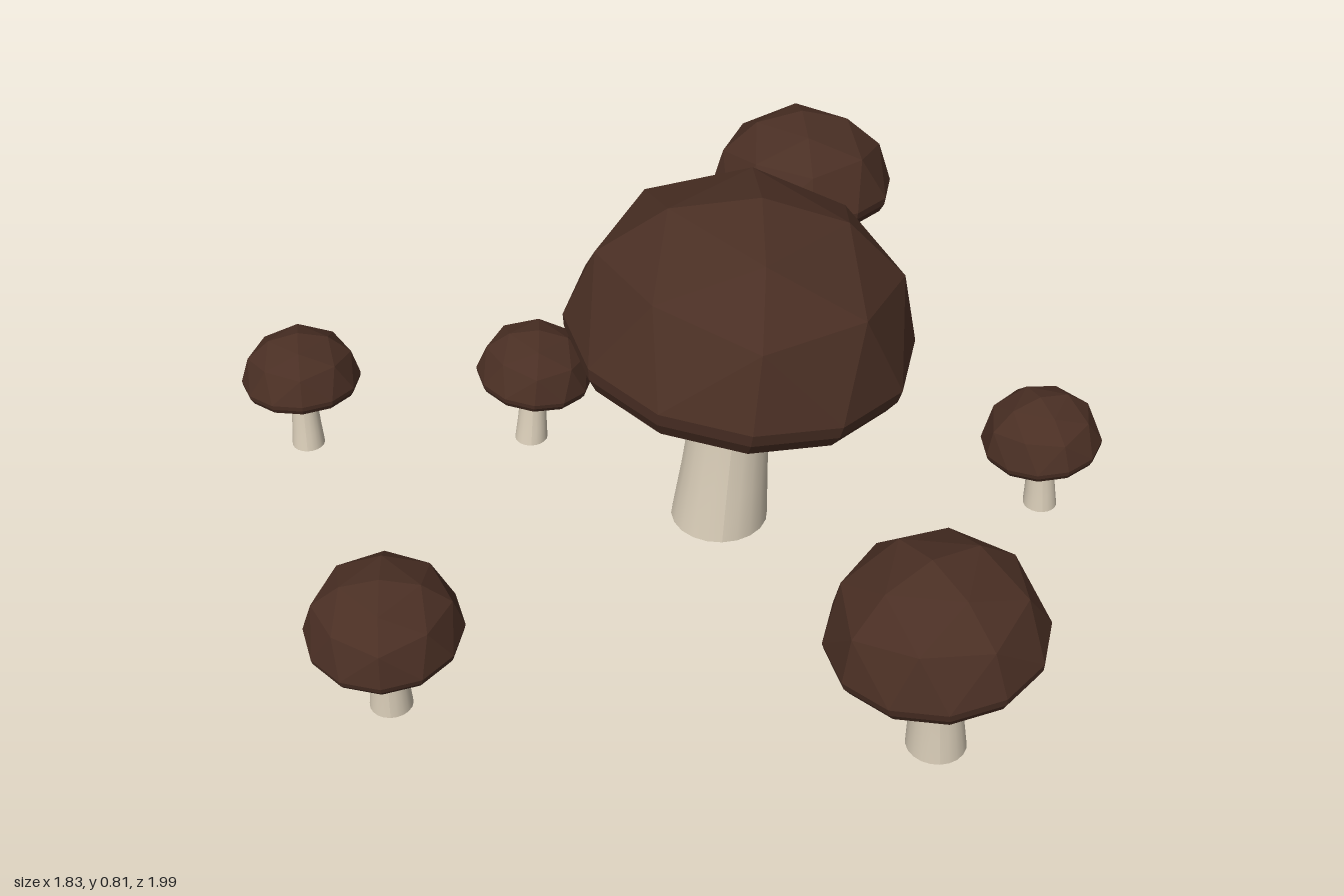
import * as THREE from 'three';

const capMat = new THREE.MeshStandardMaterial({ color: 0x4a2f24, flatShading: true });
capMat.name = 'dark brown cap';
const stemMat = new THREE.MeshStandardMaterial({ color: 0xd9cdb8 });
stemMat.name = 'cream stem';

// Faceted half dome of radius 1: an octahedral grid bent to even 30 degree steps
function domeGeometry() {
  const src = new THREE.OctahedronGeometry(1, 2).getAttribute('position');
  const out = [];
  const v = new THREE.Vector3();
  const bend = (c, sum) => Math.sign(c) * Math.sin((Math.abs(c) / sum) * Math.PI / 2);
  for (let i = 0; i < src.count; i += 3) {
    if (Math.min(src.getY(i), src.getY(i + 1), src.getY(i + 2)) < -1e-4) continue;
    for (let k = 0; k < 3; k++) {
      v.fromBufferAttribute(src, i + k);
      const sum = Math.abs(v.x) + Math.abs(v.y) + Math.abs(v.z);
      v.set(bend(v.x, sum), bend(v.y, sum), bend(v.z, sum)).normalize();
      out.push(v.x, v.y * 0.86, v.z);
    }
  }
  const geo = new THREE.BufferGeometry();
  geo.setAttribute('position', new THREE.Float32BufferAttribute(out, 3));
  geo.computeVertexNormals();
  return geo;
}

// Rolled rim and underside below the dome
function rimGeometry() {
  const profile = [[0, -0.13], [0.93, -0.17], [0.985, -0.08], [1, 0]];
  return new THREE.LatheGeometry(profile.map(p => new THREE.Vector2(...p)), 12);
}

// Flared stem that leans from its base to the underside of the cap
function stemGeometry(base, top, r) {
  const h = top.y - base.y;
  const geo = new THREE.CylinderGeometry(r * 0.77, r, h, 20, 4);
  geo.translate(0, h / 2, 0);
  const pos = geo.getAttribute('position');
  for (let i = 0; i < pos.count; i++) {
    const t = pos.getY(i) / h;
    const waist = 1 - 0.06 * Math.sin(Math.PI * t);
    pos.setXYZ(i,
      base.x + pos.getX(i) * waist + (top.x - base.x) * t,
      base.y + pos.getY(i),
      base.z + pos.getZ(i) * waist + (top.z - base.z) * t);
  }
  geo.computeVertexNormals();
  return geo;
}

export function createModel() {
  const model = new THREE.Group();
  model.name = 'mushroomCluster';
  const dome = domeGeometry();
  const rim = rimGeometry();

  // cap centre at the rim, cap radius, stem base, stem radius, tilt about x and z, turn about y
  const mushrooms = [
    { name: 'largeMushroom', cap: [0.145, 0.5, 0.07], R: 0.362, base: [0.108, 0.02, 0.075], r: 0.103, tilt: [0, -0.12], turn: 0 },
    { name: 'frontMushroom', cap: [0.462, 0.308, 0.785], R: 0.212, base: [0.48, 0.02, 0.78], r: 0.059, tilt: [0.02, 0.11], turn: 0.5 },
    { name: 'backMushroom', cap: [0.35, 0.305, -0.785], R: 0.214, base: [0.35, 0.02, -0.76], r: 0.059, tilt: [-0.14, 0], turn: 0.05 },
    { name: 'leftSmallMushroom', cap: [0.788, 0.192, 0.07], R: 0.127, base: [0.8, 0.02, 0.072], r: 0.036, tilt: [0, 0.1], turn: 0.3 },
    { name: 'innerSmallMushroom', cap: [-0.282, 0.192, -0.215], R: 0.128, base: [-0.295, 0.02, -0.205], r: 0.036, tilt: [0, -0.12], turn: 0 },
    { name: 'rightSmallMushroom', cap: [-0.792, 0.192, -0.216], R: 0.129, base: [-0.79, 0.02, -0.205], r: 0.036, tilt: [-0.08, 0], turn: 0.1 },
    { name: 'rightFrontMushroom', cap: [-0.567, 0.21, 0.617], R: 0.155, base: [-0.567, 0, 0.607], r: 0.043, tilt: [0.12, 0], turn: 0 },
  ];

  for (const m of mushrooms) {
    const group = new THREE.Group();
    group.name = m.name;

    const cap = new THREE.Group();
    cap.name = 'cap';
    cap.position.set(...m.cap);
    cap.rotation.set(m.tilt[0], 0, m.tilt[1]);
    for (const [name, geo] of [['capDome', dome], ['capRim', rim]]) {
      const mesh = new THREE.Mesh(geo, capMat);
      mesh.name = name;
      mesh.scale.setScalar(m.R);
      mesh.rotation.y = m.turn;
      cap.add(mesh);
    }

    // The stem ends just inside the underside of the cap
    const top = new THREE.Vector3(0, -0.08 * m.R, 0).applyEuler(cap.rotation).add(cap.position);
    const stem = new THREE.Mesh(stemGeometry(new THREE.Vector3(...m.base), top, m.r), stemMat);
    stem.name = 'stem';

    group.add(cap, stem);
    model.add(group);
  }
  return model;
}
